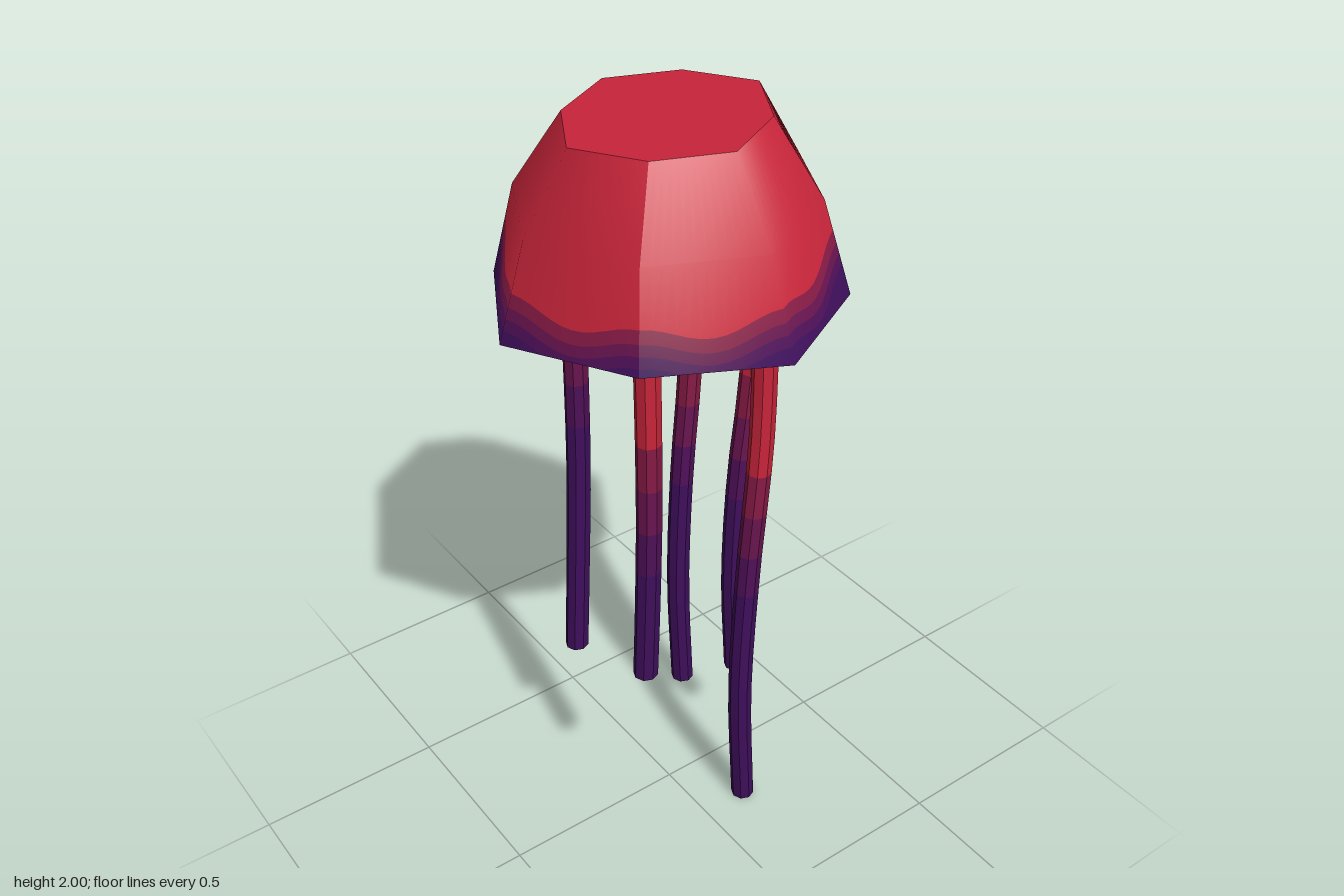
import * as THREE from 'three';
import { mergeGeometries } from 'three/addons/utils/BufferGeometryUtils.js';

const paint = (name, color) => {
  const m = new THREE.MeshStandardMaterial({ color });
  m.name = name;
  return m;
};
const COLOURS = [
  paint('red', 0xc8253a),
  paint('maroon', 0x861a45),
  paint('plum', 0x68144f),
  paint('violet', 0x4f1058),
  paint('indigo', 0x3f0f5c),
];
const NAMES = ['Red', 'Maroon', 'Plum', 'Violet', 'Indigo'];

// Bell rings from crown to rim: axis radii, diagonal half-width, x shift, height, tilt
const RINGS = [
  { ax: 0.25, az: 0.24, d: 0.16, shift: -0.008, y: 1.988, tilt: 0.05 },
  { ax: 0.365, az: 0.363, d: 0.242, shift: -0.008, y: 1.81, tilt: 0.02 },
  { ax: 0.445, az: 0.44, d: 0.287, shift: 0, y: 1.585, tilt: 0.015 },
];

// Corner k of a ring's octagon, counted from the front toward +x
function corner(ring, k) {
  const a = (k * Math.PI) / 4;
  const diagonal = Math.abs(k % 2) === 1;
  const x = (diagonal ? Math.sign(Math.sin(a)) * ring.d : Math.sin(a) * ring.ax) + ring.shift;
  const z = diagonal ? Math.sign(Math.cos(a)) * ring.d : Math.cos(a) * ring.az;
  return new THREE.Vector3(x, ring.y + ring.tilt * x, z);
}

// One quarter of the bell: smooth inside, creased against its neighbours
function makePanel(p) {
  const g = new THREE.PlaneGeometry(1, 1, 2, 2);
  const pos = g.attributes.position;
  for (let row = 0; row < 3; row++)
    for (let c = 0; c < 3; c++) {
      const v = corner(RINGS[row], 2 * p + c - 1);
      pos.setXYZ(row * 3 + c, v.x, v.y, v.z);
    }
  g.computeVertexNormals();
  const read = (attr, i) => new THREE.Vector3().fromBufferAttribute(attr, i);
  // Bilinear sample, u across 0..1, v down 0..2
  return (name, u, v) => {
    const attr = g.attributes[name];
    const c = Math.min(1, Math.floor(u * 2)), r = Math.min(1, Math.floor(v));
    const fu = u * 2 - c, fv = v - r, i = r * 3 + c;
    const top = read(attr, i).lerp(read(attr, i + 1), fu);
    return top.lerp(read(attr, i + 3).lerp(read(attr, i + 4), fu), fv);
  };
}

// Strip of a panel between two curves v = upper(u) and v = lower(u)
function strip(sample, upper, lower, n = 24) {
  const g = new THREE.PlaneGeometry(1, 1, n, 1);
  for (let row = 0; row < 2; row++)
    for (let i = 0; i <= n; i++) {
      const u = i / n, v = (row ? lower : upper)(u), k = row * (n + 1) + i;
      const q = sample('position', u, v), m = sample('normal', u, v).normalize();
      g.attributes.position.setXYZ(k, q.x, q.y, q.z);
      g.attributes.normal.setXYZ(k, m.x, m.y, m.z);
    }
  return g;
}

// Flat tilted plate following a ring's plane
function plate(shape, ring, up) {
  const g = new THREE.ShapeGeometry(shape, 32);
  g.rotateX(up ? -Math.PI / 2 : Math.PI / 2);
  const pos = g.attributes.position;
  for (let i = 0; i < pos.count; i++) pos.setY(i, ring.y + ring.tilt * pos.getX(i));
  g.computeVertexNormals();
  return g;
}
const octagon = (ring) => new THREE.Shape(
  [0, 1, 2, 3, 4, 5, 6, 7].map((k) => {
    const v = corner(ring, k);
    return new THREE.Vector2(v.x, v.z);
  }));

function makeBell() {
  const bell = new THREE.Group();
  bell.name = 'bell';
  const add = (name, g, m) => {
    const mesh = new THREE.Mesh(g, m);
    mesh.name = name;
    bell.add(mesh);
  };
  // Scalloped colour edges: higher toward the back and the +x side
  const edge = (p, drop) => (u) => {
    const a = (p + u - 0.5) * Math.PI / 2;
    const y = 1.737 + 0.04 * Math.sin(a) - 0.035 * Math.cos(a)
      - 0.035 * Math.sin(2 * Math.PI * u) ** 2 - drop;
    return Math.min(2, 1 + (1.81 - y) / 0.225);
  };
  const drops = [0, 0.03, 0.055, 0.08];
  const bands = COLOURS.map(() => []);
  for (let p = 0; p < 4; p++) {
    const sample = makePanel(p);
    const curves = [() => 1, ...drops.map((d) => edge(p, d)), () => 2];
    bands[0].push(strip(sample, () => 0, () => 1));
    COLOURS.forEach((_, i) => bands[i].push(strip(sample, curves[i], curves[i + 1])));
  }
  bands.forEach((parts, i) => add('bell' + NAMES[i] + 'Band', mergeGeometries(parts), COLOURS[i]));

  // Crown and underside
  add('crown', plate(octagon(RINGS[0]), RINGS[0], true), COLOURS[0]);
  const rim = octagon(RINGS[2]);
  rim.holes.push(new THREE.Path().absarc(0, 0, 0.372, 0, Math.PI * 2, true));
  add('undersideRim', plate(rim, RINGS[2], false), COLOURS[4]);
  const disc = new THREE.Shape().absarc(0, 0, 0.372, 0, Math.PI * 2, false);
  add('undersideDisc', plate(disc, RINGS[2], false), COLOURS[0]);
  return bell;
}

// Tentacles: z, tip height, height where red ends, x at even steps from top to tip
const TENTACLES = [
  { z: 0.17, tip: 0, red: 1.1, xs: [0.145, 0.147, 0.12, 0.108, 0.13] },
  { z: 0, tip: 0.305, red: 1.26, xs: [0.25, 0.252, 0.22, 0.21, 0.228] },
  { z: -0.18, tip: 0.155, red: 1.22, xs: [0.2, 0.198, 0.172, 0.162, 0.178] },
  { z: 0.17, tip: 0.63, red: 1.315, xs: [-0.185, -0.182, -0.182, -0.188, -0.197] },
  { z: -0.19, tip: 0.455, red: 1.52, xs: [-0.14, -0.138, -0.142, -0.155, -0.17] },
];

function makeTentacle({ z, tip, red, xs }) {
  const group = new THREE.Group();
  group.name = 'tentacle';
  const top = 1.588;
  const sway = new THREE.CatmullRomCurve3(xs.map((x, i) => new THREE.Vector3(x, i, 0)));
  const levels = [top, red, red - 0.12, red - 0.24, red - 0.36, tip];
  COLOURS.forEach((m, i) => {
    const hi = levels[i], lo = levels[i + 1], last = i === 4;
    const rows = Math.max(1, Math.round((hi - lo) / 0.1));
    const parts = [new THREE.CylinderGeometry(0.031, 0.031, hi - lo, 8, rows, true)];
    parts[0].translate(0, (hi + lo) / 2, 0);
    if (last) parts.push(new THREE.CircleGeometry(0.031, 8).rotateX(Math.PI / 2).translate(0, lo, 0));
    const g = mergeGeometries(parts).toNonIndexed();
    const pos = g.attributes.position;
    for (let k = 0; k < pos.count; k++) {
      const t = THREE.MathUtils.clamp((top - pos.getY(k)) / (top - tip), 0, 1);
      pos.setX(k, pos.getX(k) + sway.getPoint(t).x);
      pos.setZ(k, pos.getZ(k) + z);
    }
    g.computeVertexNormals();
    const mesh = new THREE.Mesh(g, m);
    mesh.name = 'tentacle' + NAMES[i];
    group.add(mesh);
  });
  return group;
}

export function createModel() {
  const model = new THREE.Group();
  model.name = 'jellyfish';
  model.add(makeBell(), ...TENTACLES.map(makeTentacle));
  return model;
}
